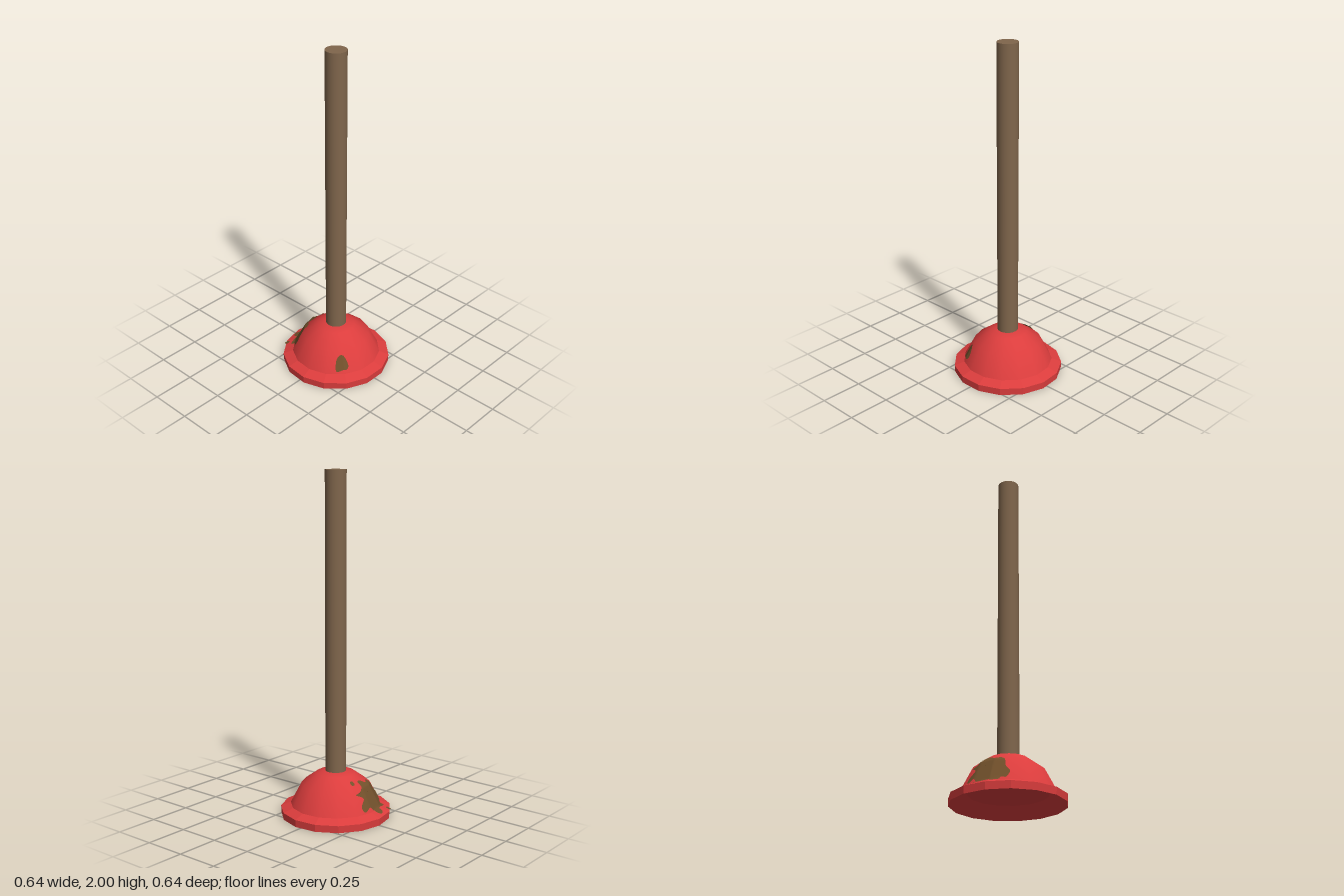
import * as THREE from 'three';

const SIDES = 15;
// Outer profile of the cup as [radius, height], from rim edge to crown
const PROFILE = [[0.323, 0.042], [0.265, 0.065], [0.2, 0.19], [0.112, 0.254], [0.06, 0.267], [0, 0.267]];

const points = (list) => list.map(([x, y]) => new THREE.Vector2(x, y));

// Height of the faceted cup surface above a ground position
function surfaceHeight(x, z) {
  const step = (2 * Math.PI) / SIDES;
  const angle = Math.atan2(x, -z);
  const local = angle - (Math.floor(angle / step) + 0.5) * step;
  const r = (Math.hypot(x, z) * Math.cos(local)) / Math.cos(step / 2);
  for (let i = 0; i < PROFILE.length - 1; i++) {
    const [r0, y0] = PROFILE[i], [r1, y1] = PROFILE[i + 1];
    if (r >= r1) return y0 + ((y1 - y0) * (r0 - r)) / (r0 - r1);
  }
  return 0.267;
}

// Thin stain that follows the cup, filled with rings from its centre to its outline
function stainGeometry(cx, cz, outline, rings) {
  const curve = new THREE.CatmullRomCurve3(outline.map(([x, z]) => new THREE.Vector3(x, 0, z)), true);
  const n = outline.length * 5;
  const edge = curve.getPoints(n).slice(0, n);
  const position = [], index = [];
  for (let k = 0; k <= rings; k++) {
    for (const p of edge) {
      const x = cx + ((p.x - cx) * k) / rings, z = cz + ((p.z - cz) * k) / rings;
      position.push(x, surfaceHeight(x, z) + 0.006, z);
    }
  }
  for (let k = 0; k < rings; k++) {
    for (let i = 0; i < n; i++) {
      const j = (i + 1) % n, a = k * n + i, b = k * n + j, c = a + n, d = b + n;
      if (k > 0) index.push(a, b, d);
      index.push(a, d, c);
    }
  }
  const geometry = new THREE.BufferGeometry();
  geometry.setAttribute('position', new THREE.Float32BufferAttribute(position, 3));
  // Outlines run clockwise seen from above, so reverse the corners to face up
  geometry.setIndex(index.reverse());
  geometry.computeVertexNormals();
  return geometry;
}

const circle = (cx, cz, r) => Array.from({ length: 8 }, (_, i) => {
  const a = (i * Math.PI) / 4, s = i % 2 ? r : r * 0.85;
  return [cx + Math.cos(a) * s, cz + Math.sin(a) * s];
});

export function createModel() {
  const group = new THREE.Group();
  const material = (name, color) => {
    const m = new THREE.MeshStandardMaterial({ color });
    m.name = name;
    return m;
  };
  const red = material('red rubber', 0xdc3d3d);
  const wood = material('wood', 0x80664c);
  const dirt = material('dirt', 0x71502b);
  dirt.side = THREE.DoubleSide;
  const add = (name, geometry, mat) => {
    const mesh = new THREE.Mesh(geometry, mat);
    mesh.name = name;
    group.add(mesh);
    return mesh;
  };

  // Faceted rim with a flared underside and a flat inner ceiling
  const rim = new THREE.LatheGeometry(
    points([[0, 0.06], [0.22, 0.06], [0.321, 0], [0.323, 0.042], [0.265, 0.065]]), SIDES, Math.PI).toNonIndexed();
  rim.computeVertexNormals();
  add('rim', rim, red);

  // Smooth-shaded dome
  add('dome', new THREE.LatheGeometry(points(PROFILE.slice(1)), SIDES, Math.PI), red);

  // Handle
  add('handle', new THREE.CylinderGeometry(0.061, 0.061, 1.75, 32), wood).position.y = 1.125;

  // Stains on the back and front of the cup
  add('largeStain', stainGeometry(-0.065, -0.21, [
    [-0.05, -0.3], [-0.03, -0.285], [-0.028, -0.265], [-0.01, -0.255], [0.047, -0.253], [0.055, -0.237],
    [0.02, -0.223], [0.062, -0.2], [0.03, -0.203], [0, -0.19], [-0.003, -0.158], [-0.034, -0.153],
    [-0.064, -0.168], [-0.096, -0.144], [-0.13, -0.151], [-0.146, -0.162], [-0.178, -0.162],
    [-0.175, -0.187], [-0.15, -0.205], [-0.157, -0.232], [-0.13, -0.244], [-0.087, -0.255], [-0.078, -0.285],
  ], 16), dirt);
  add('frontStain', stainGeometry(-0.15, 0.187, [
    [-0.165, 0.155], [-0.14, 0.16], [-0.12, 0.187], [-0.12, 0.212], [-0.14, 0.213], [-0.16, 0.198], [-0.186, 0.174],
  ], 6), dirt);
  add('rimSpot', stainGeometry(-0.153, -0.271, circle(-0.153, -0.271, 0.015), 3), dirt);
  add('domeSpot', stainGeometry(0.038, -0.153, circle(0.038, -0.153, 0.014), 3), dirt);

  return group;
}
